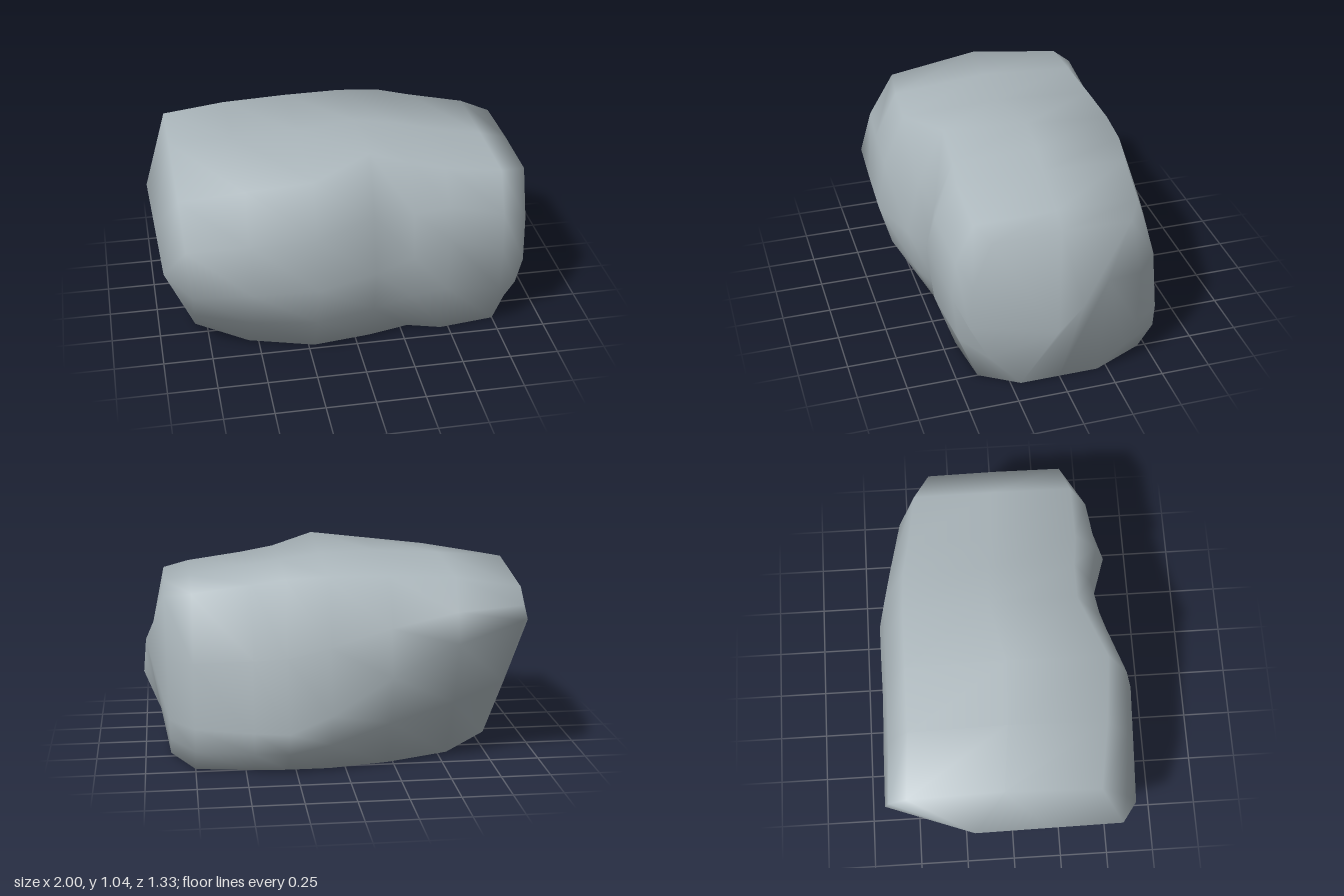
import * as THREE from 'three';
import { mergeVertices } from 'three/addons/utils/BufferGeometryUtils.js';

const BULGE = 0.035; // how far the flanks swell between their corners
const BASE = 0.005;

// Ring of 12 points from six corners [x, y, z], with a point halfway along each side
function ringFrom(corners) {
  return corners.flatMap((corner, i) => {
    const a = new THREE.Vector3(...corner);
    const b = new THREE.Vector3(...corners[(i + 1) % 6]);
    return [a, a.clone().lerp(b, 0.5)];
  });
}

// Slice of the boulder: x at foot and top, z of both feet, height of the crown,
// then [z, y] of the other corners
function slice(xFoot, xTop, frontFoot, backFoot, crown, front, topFront, topBack, back) {
  const corners = [[frontFoot, BASE], front, topFront, topBack, back, [backFoot, BASE]];
  const ring = ringFrom(corners.map(([z, y]) => [0, y, z]));
  for (const i of [1, 3]) ring[i].z += BULGE;
  for (const i of [7, 9]) ring[i].z -= BULGE;
  ring[5].y = crown;
  for (const point of ring) point.x = xFoot + (xTop - xFoot) * point.y;
  return ring;
}

// End of the boulder, pinched to a ridge between two points
const ridge = (front, back) => ringFrom([front, front, front, back, back, back]);

// Skin the rings from left end to right end as one smooth closed surface
function loft(rings) {
  const n = rings[0].length;
  const index = [];
  for (let i = 0; i < rings.length - 1; i++) {
    for (let j = 0; j < n; j++) {
      const a = i * n + j;
      const b = i * n + ((j + 1) % n);
      index.push(a, a + n, b, b, a + n, b + n);
    }
  }
  const geometry = new THREE.BufferGeometry().setFromPoints(rings.flat());
  geometry.setIndex(index);
  const welded = mergeVertices(geometry);
  welded.computeVertexNormals();
  return welded;
}

export function createModel() {
  const stone = new THREE.MeshStandardMaterial({ color: 0xabb6bb });
  stone.name = 'grey stone';

  const boulder = new THREE.Mesh(loft([
    ridge([-0.97, 0.57, 0.55], [-1, 0.665, -0.2]),
    // undercut end
    slice(-0.81, -0.88, 0.17, -0.05, 0.975, [0.635, 0.47], [0.43, 0.9], [-0.52, 0.915], [-0.635, 0.77]),
    slice(-0.55, -0.55, 0.37, -0.35, 0.995, [0.65, 0.46], [0.48, 0.95], [-0.5, 0.965], [-0.64, 0.66]),
    slice(-0.22, -0.22, 0.47, -0.47, 1.01, [0.665, 0.46], [0.51, 0.985], [-0.5, 0.98], [-0.645, 0.5]),
    // crest of the top
    slice(0.08, 0.08, 0.43, -0.525, 1.015, [0.575, 0.47], [0.375, 1.045], [-0.5, 0.985], [-0.66, 0.32]),
    // hollow in the front
    slice(0.29, 0.29, 0.38, -0.525, 0.985, [0.505, 0.5], [0.38, 0.975], [-0.49, 0.975], [-0.667, 0.235]),
    // knob beside the hollow
    slice(0.46, 0.46, 0.43, -0.51, 0.955, [0.565, 0.62], [0.4, 0.94], [-0.46, 0.945], [-0.63, 0.235]),
    slice(0.75, 0.75, 0.39, -0.46, 0.905, [0.51, 0.5], [0.4, 0.9], [-0.42, 0.9], [-0.545, 0.24]),
    slice(0.87, 0.885, 0.2, -0.2, 0.88, [0.46, 0.4], [0.35, 0.875], [-0.34, 0.87], [-0.4, 0.25]),
    ridge([1, 0.38, 0.05], [0.98, 0.62, -0.2]),
  ]), stone);
  boulder.name = 'boulder';

  const group = new THREE.Group();
  group.name = 'rock';
  group.add(boulder);
  return group;
}
